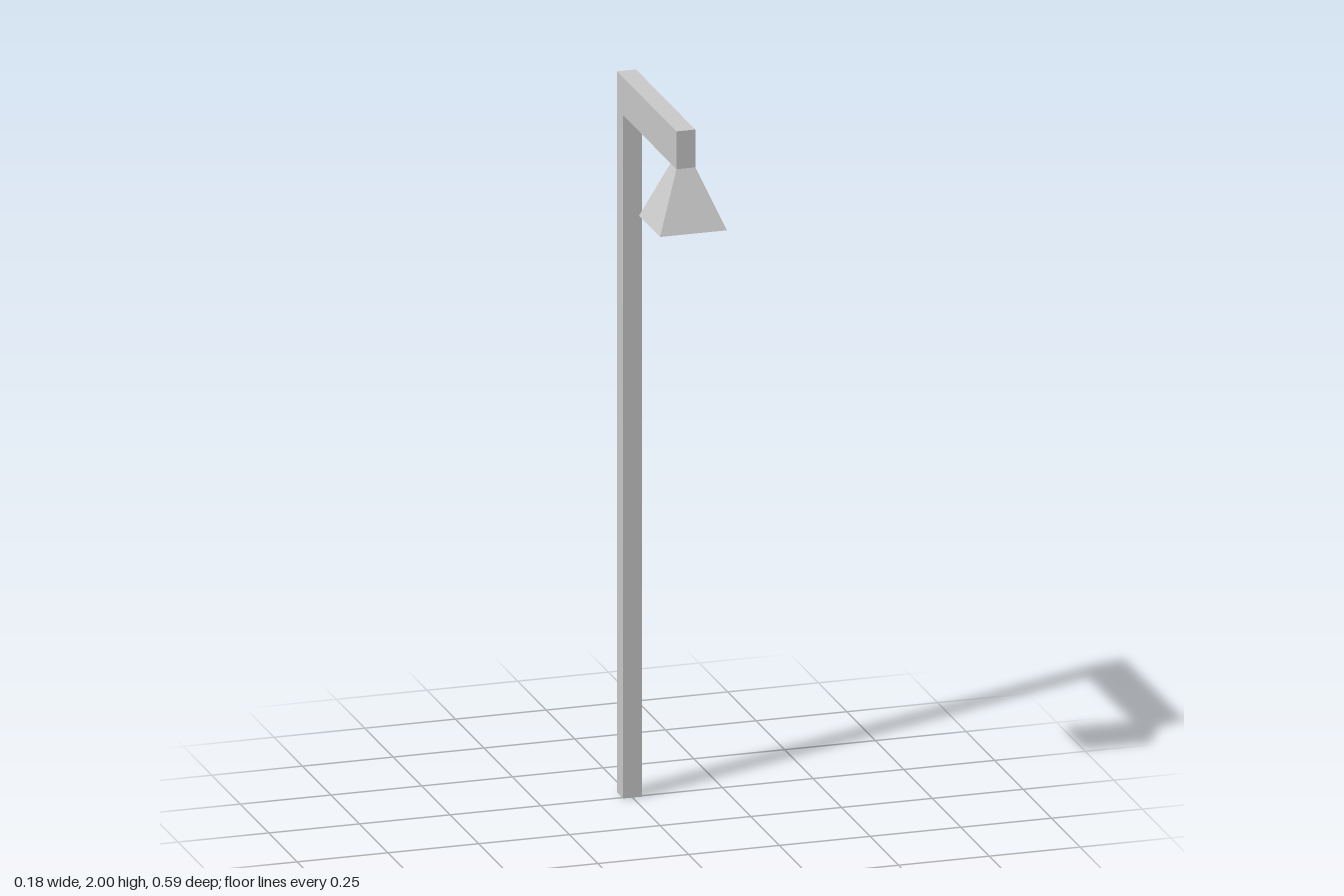
import * as THREE from 'three';

const material = new THREE.MeshStandardMaterial({ color: 0xcccccc, flatShading: true });

function addPart(group, name, geometry) {
  const flat = geometry.index ? geometry.toNonIndexed() : geometry;
  flat.computeVertexNormals();
  const mesh = new THREE.Mesh(flat, material);
  mesh.name = name;
  group.add(mesh);
  return mesh;
}

export function createModel() {
  const group = new THREE.Group();
  group.name = 'streetLamp';

  const width = 0.052;
  const back = -0.294, front = 0.226;
  const top = 2, armBottom = 1.895;

  // Post and overhanging arm: one L-shaped outline in (z, y), extruded across x
  const outline = new THREE.Shape([
    [back, 0], [back + width, 0], [back + width, armBottom],
    [front, armBottom], [front, top], [back, top],
  ].map(([z, y]) => new THREE.Vector2(z, y)));
  const frame = new THREE.ExtrudeGeometry(outline, { depth: width, bevelEnabled: false });
  frame.translate(0, 0, -width / 2);
  frame.rotateY(-Math.PI / 2);
  addPart(group, 'postAndArm', frame);

  // Square shade with a recessed underside: [half width, y]
  const profile = [
    [0, 1.795], [0.06, 1.795], [0.06, 1.735], [0.092, 1.735], [width / 2, armBottom],
  ].map(([half, y]) => new THREE.Vector2(half * Math.SQRT2, y));
  const shade = addPart(group, 'lampShade', new THREE.LatheGeometry(profile, 4, Math.PI / 4));
  shade.position.z = front - width / 2;

  return group;
}
